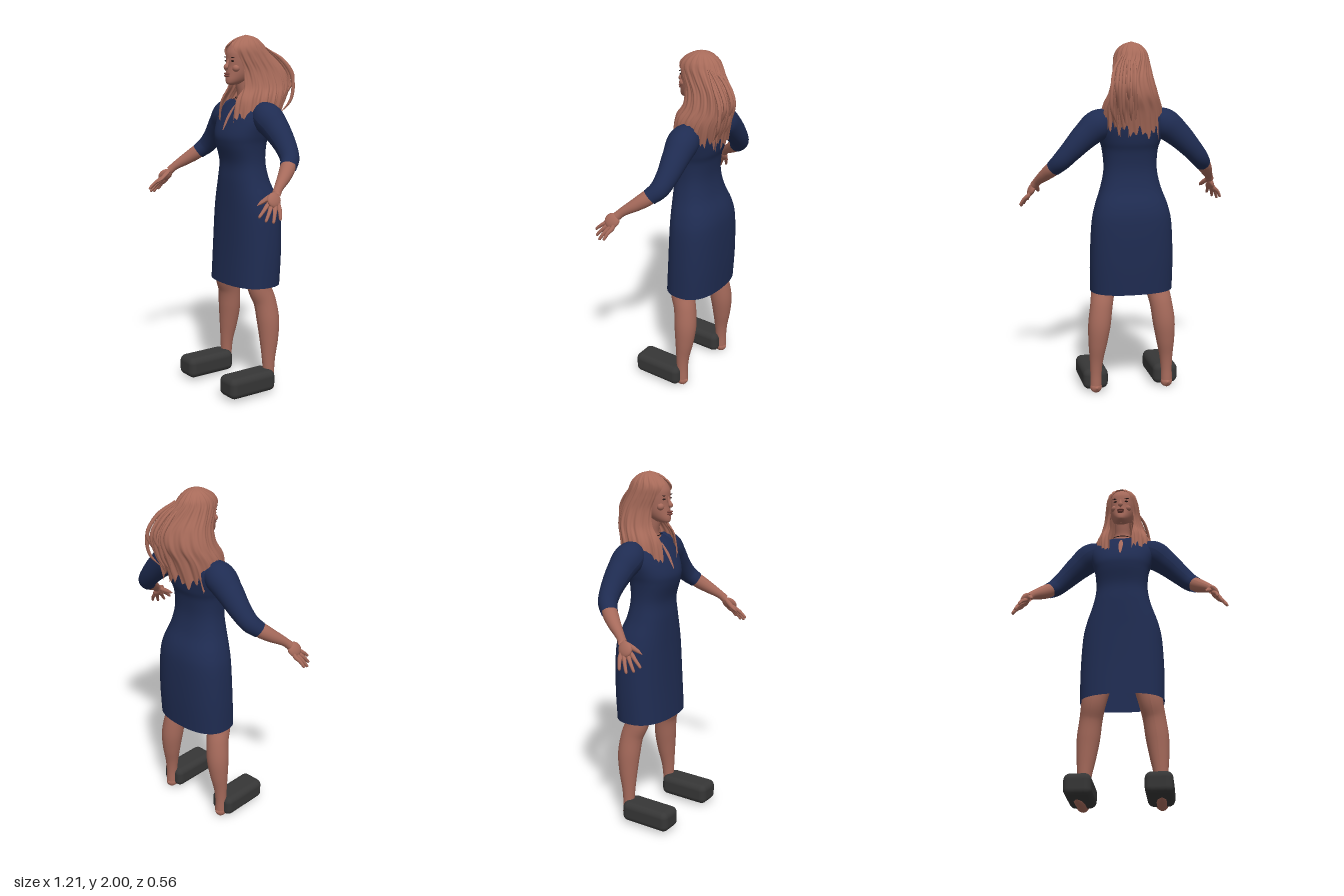
import * as THREE from 'three';
import { RoundedBoxGeometry } from 'three/addons/geometries/RoundedBoxGeometry.js';

const paint = (name, color, side = THREE.FrontSide) => {
  const m = new THREE.MeshStandardMaterial({ color, side });
  m.name = name;
  return m;
};

// smooth interpolation through rows of numbers, t in 0..1
function rowAt(rows, t) {
  const f = t * (rows.length - 1), i = Math.min(Math.floor(f), rows.length - 2), u = f - i;
  const r = k => rows[Math.max(0, Math.min(rows.length - 1, k))];
  return rows[0].map((_, k) => {
    const a = r(i - 1)[k], b = r(i)[k], c = r(i + 1)[k], d = r(i + 2)[k];
    return b + 0.5 * u * (c - a + u * (2 * a - 5 * b + 4 * c - d + u * (3 * (b - c) + d - a)));
  });
}

function grid(rows, cols, closed, fn) {
  const pos = [], idx = [], n = closed ? cols : cols + 1;
  for (let i = 0; i <= rows; i++)
    for (let j = 0; j < n; j++) pos.push(...fn(i / rows, j / cols));
  for (let i = 0; i < rows; i++)
    for (let j = 0; j < cols; j++) {
      const a = i * n + j, b = i * n + (j + 1) % n;
      idx.push(a, b, a + n, b, b + n, a + n);
    }
  const g = new THREE.BufferGeometry();
  g.setAttribute('position', new THREE.Float32BufferAttribute(pos, 3));
  g.setIndex(idx);
  g.computeVertexNormals();
  return g;
}

// upright loft; rows ascend as [y, half width, front z, back z]
function loft(rows, power = 2) {
  const bend = v => Math.sign(v) * Math.abs(v) ** (2 / power);
  return grid(rows.length * 5, 48, true, (v, u) => {
    const [y, rx, zf, zb] = rowAt(rows, v), a = u * Math.PI * 2;
    return [rx * bend(Math.sin(a)), y, (zf + zb) / 2 + (zf - zb) / 2 * bend(Math.cos(a))];
  });
}

// tapered tube; stations are [x, y, z, radius]
function limb(stations, sides = 20, s = 1) {
  const curve = new THREE.CatmullRomCurve3(stations.map(p => new THREE.Vector3(p[0] * s, p[1], p[2])));
  const steps = stations.length * 6;
  const g = new THREE.TubeGeometry(curve, steps, 1, sides);
  const p = g.attributes.position, v = new THREE.Vector3();
  const radii = stations.map(q => [q[3]]);
  for (let i = 0; i <= steps; i++) {
    const c = curve.getPointAt(i / steps);
    const r = Math.max(0.0005, rowAt(radii, curve.getUtoTmapping(i / steps))[0]);
    for (let j = 0; j <= sides; j++) {
      const k = i * (sides + 1) + j;
      v.fromBufferAttribute(p, k).sub(c).multiplyScalar(r).add(c);
      p.setXYZ(k, v.x, v.y, v.z);
    }
  }
  g.computeVertexNormals();
  return g;
}

export function createModel() {
  const model = new THREE.Group();
  const skin = paint('skin', 0xa66a5b, THREE.DoubleSide);
  const hair = paint('hair', 0xa86b5a, THREE.DoubleSide);
  const cloth = paint('navy cloth', 0x1f2c52, THREE.DoubleSide);
  const block = paint('charcoal', 0x363636);
  const dark = paint('dark detail', 0x2a1a18);
  const lip = paint('lips', 0x7a443c);
  const add = (name, geo, mat) => {
    const m = new THREE.Mesh(geo, mat);
    m.name = name;
    model.add(m);
    return m;
  };
  const ball = (name, mat, x, y, z, rx, ry, rz) => {
    const m = add(name, new THREE.SphereGeometry(1, 20, 14), mat);
    m.position.set(x, y, z);
    m.scale.set(rx, ry, rz);
    return m;
  };

  // dress body
  const dress = [
    [0.61, 0.235, 0.112, -0.19], [0.8, 0.236, 0.1, -0.2], [1.0, 0.226, 0.092, -0.2],
    [1.1, 0.205, 0.09, -0.185], [1.2, 0.17, 0.088, -0.145], [1.3, 0.15, 0.085, -0.125],
    [1.4, 0.155, 0.112, -0.132], [1.46, 0.17, 0.115, -0.15], [1.54, 0.19, 0.08, -0.16],
    [1.6, 0.18, 0.04, -0.152], [1.645, 0.105, 0.005, -0.125]];
  add('dress', loft(dress, 2.4), cloth);

  // keyhole opening below the neckline
  add('keyhole', grid(16, 2, false, (v, u) => {
    const [y, , zf] = rowAt(dress, 0.73 + v * 0.2);
    return [(u - 0.5) * 0.026 * Math.sin(Math.PI * (0.1 + v * 0.8)), y, zf + 0.004];
  }), skin);

  // neck and head
  add('neck', loft([[1.58, 0.11, 0.03, -0.13], [1.635, 0.09, 0.012, -0.115],
    [1.67, 0.052, 0.005, -0.1], [1.72, 0.045, 0.015, -0.085], [1.79, 0.045, 0.03, -0.08]]), skin);
  add('head', loft([[1.728, 0.002, 0.055, 0.045], [1.735, 0.024, 0.08, 0.0], [1.755, 0.043, 0.085, -0.05],
    [1.79, 0.06, 0.08, -0.1], [1.83, 0.069, 0.076, -0.125], [1.87, 0.073, 0.076, -0.135],
    [1.91, 0.072, 0.072, -0.135], [1.95, 0.058, 0.045, -0.115], [1.975, 0.03, 0.0, -0.08],
    [1.982, 0.001, -0.039, -0.041]], 2.2), skin);
  add('nose', limb([[0, 1.872, 0.07, 0.006], [0, 1.845, 0.08, 0.009],
    [0, 1.824, 0.088, 0.014], [0, 1.812, 0.08, 0.001]], 12), skin);
  ball('upperLip', lip, 0, 1.791, 0.085, 0.022, 0.006, 0.013);
  ball('lowerLip', lip, 0, 1.779, 0.085, 0.019, 0.007, 0.014);
  const necklace = add('necklace', new THREE.TorusGeometry(0.058, 0.0025, 6, 40), dark);
  necklace.position.set(0, 1.663, -0.045);
  necklace.rotation.x = Math.PI / 2 + 0.15;

  // hair: one rippled sheet around the head, open over the face; [y, half width, front, back, gap, drift]
  const locks = [[1.54, 0.165, 0.1, -0.2, 0.4, 0.05], [1.64, 0.162, 0.085, -0.23, 0.42, 0.07],
    [1.72, 0.135, 0.045, -0.258, 0.56, 0.085], [1.8, 0.112, 0.045, -0.245, 0.66, 0.08],
    [1.87, 0.1, 0.07, -0.2, 0.7, 0.04], [1.92, 0.092, 0.08, -0.165, 0.5, 0.01],
    [1.955, 0.077, 0.055, -0.14, 0.1, 0], [1.985, 0.046, 0.005, -0.1, 0, 0],
    [2.0, 0.001, -0.044, -0.046, 0, 0]];
  add('hair', grid(54, 150, false, (v, u) => {
    const [y, rx, zf, zb, gap, drift] = rowAt(locks, v);
    const a = gap + u * 2 * (Math.PI - gap), back = Math.max(0, -Math.cos(a));
    const low = Math.max(0, 1 - v * 2.2);
    const r = 1 + 0.025 * Math.sin(a * 17 + v * 9) + 0.015 * Math.sin(a * 41 + v * 5);
    const tip = low ** 3 * (0.018 * Math.sin(a * 31) + 0.02 * Math.sin(a * 13) + 0.03 * Math.sin(a) - 0.01);
    return [rx * r * Math.sin(a) + drift * back * back, y + tip,
      (zf + zb) / 2 + (zf - zb) / 2 * r * Math.cos(a)];
  }), hair);

  // loose strands blown behind
  for (let i = 0; i < 7; i++) {
    const x = 0.02 + i * 0.02, w = Math.sin(i * 2.3) * 0.012;
    add('strand', limb([[x * 0.5, 1.93, -0.13, 0.004], [x * 0.9, 1.86, -0.215 + w, 0.009],
      [x + 0.01, 1.77, -0.265 + w, 0.01], [x + w, 1.65, -0.235 - w, 0.009],
      [x * 0.8, 1.53 + w * 3, -0.195, 0.001]], 8), hair);
  }

  for (const s of [1, -1]) {
    const side = s > 0 ? 'left' : 'right';

    // face details
    ball(side + 'Eye', dark, s * 0.03, 1.86, 0.067, 0.013, 0.005, 0.006);
    const brow = ball(side + 'Brow', dark, s * 0.033, 1.879, 0.068, 0.017, 0.0025, 0.005);
    brow.rotation.z = s * 0.12;
    ball(side + 'Cheek', skin, s * 0.038, 1.82, 0.05, 0.022, 0.02, 0.02);
    ball(side + 'Ear', skin, s * 0.074, 1.825, -0.025, 0.01, 0.03, 0.018);
    ball(side + 'Earring', dark, s * 0.082, 1.79, -0.02, 0.005, 0.013, 0.005);

    // sleeve and forearm
    add(side + 'Sleeve', limb([[0.06, 1.585, -0.06, 0.05], [0.18, 1.555, -0.055, 0.084],
      [0.26, 1.495, -0.06, 0.074], [0.34, 1.415, -0.06, 0.06], [0.395, 1.355, -0.045, 0.052],
      [0.43, 1.315, -0.008, 0.045]], 28, s), cloth);
    add(side + 'Forearm', limb([[0.39, 1.36, -0.045, 0.03], [0.43, 1.315, -0.005, 0.041],
      [0.465, 1.275, 0.045, 0.036], [0.505, 1.225, 0.115, 0.024], [0.52, 1.2, 0.14, 0.024]], 20, s), skin);

    // hand
    const palm = ball(side + 'Palm', skin, s * 0.533, 1.172, 0.165, 0.018, 0.04, 0.045);
    palm.rotation.set(0.45, s * 0.3, s * 0.35);
    const tips = [[0.545, 1.092, 0.268], [0.57, 1.072, 0.245], [0.59, 1.065, 0.212], [0.598, 1.078, 0.175]];
    tips.forEach(([x, y, z], i) => {
      const k = [0.528 + i * 0.008, 1.152 - i * 0.004, 0.2 - i * 0.017];
      add(side + 'Finger', limb([[0.525, 1.185, 0.15, 0.008], [...k, 0.012],
        [(x + k[0]) / 2 + 0.004, (y + k[1]) / 2 + 0.006, (z + k[2]) / 2, 0.01],
        [x, y + 0.004, z, 0.007], [x, y, z + 0.002, 0.001]], 10, s), skin);
    });
    add(side + 'Thumb', limb([[0.515, 1.205, 0.14, 0.01], [0.502, 1.18, 0.18, 0.014],
      [0.49, 1.158, 0.215, 0.01], [0.487, 1.145, 0.238, 0.002]], 10, s), skin);

    // leg and foot
    add(side + 'Leg', limb([[0.115, 0.9, -0.05, 0.09], [0.14, 0.72, -0.03, 0.08], [0.16, 0.6, -0.025, 0.068],
      [0.175, 0.52, -0.05, 0.064], [0.19, 0.41, -0.063, 0.064], [0.2, 0.3, -0.062, 0.053],
      [0.207, 0.2, -0.055, 0.039], [0.21, 0.12, -0.053, 0.033], [0.211, 0.05, -0.053, 0.034]], 28, s), skin);
    add(side + 'Foot', limb([[0.211, 0.038, -0.092, 0.002], [0.211, 0.036, -0.07, 0.031],
      [0.211, 0.042, -0.02, 0.036], [0.213, 0.036, 0.06, 0.033], [0.217, 0.024, 0.12, 0.022],
      [0.218, 0.018, 0.16, 0.002]], 20, s), skin);

    // shoe block
    const shoe = add(side + 'ShoeBlock', new RoundedBoxGeometry(0.146, 0.12, 0.305, 5, 0.036), block);
    shoe.position.set(s * 0.208, 0.077, 0.093);
  }
  return model;
}
